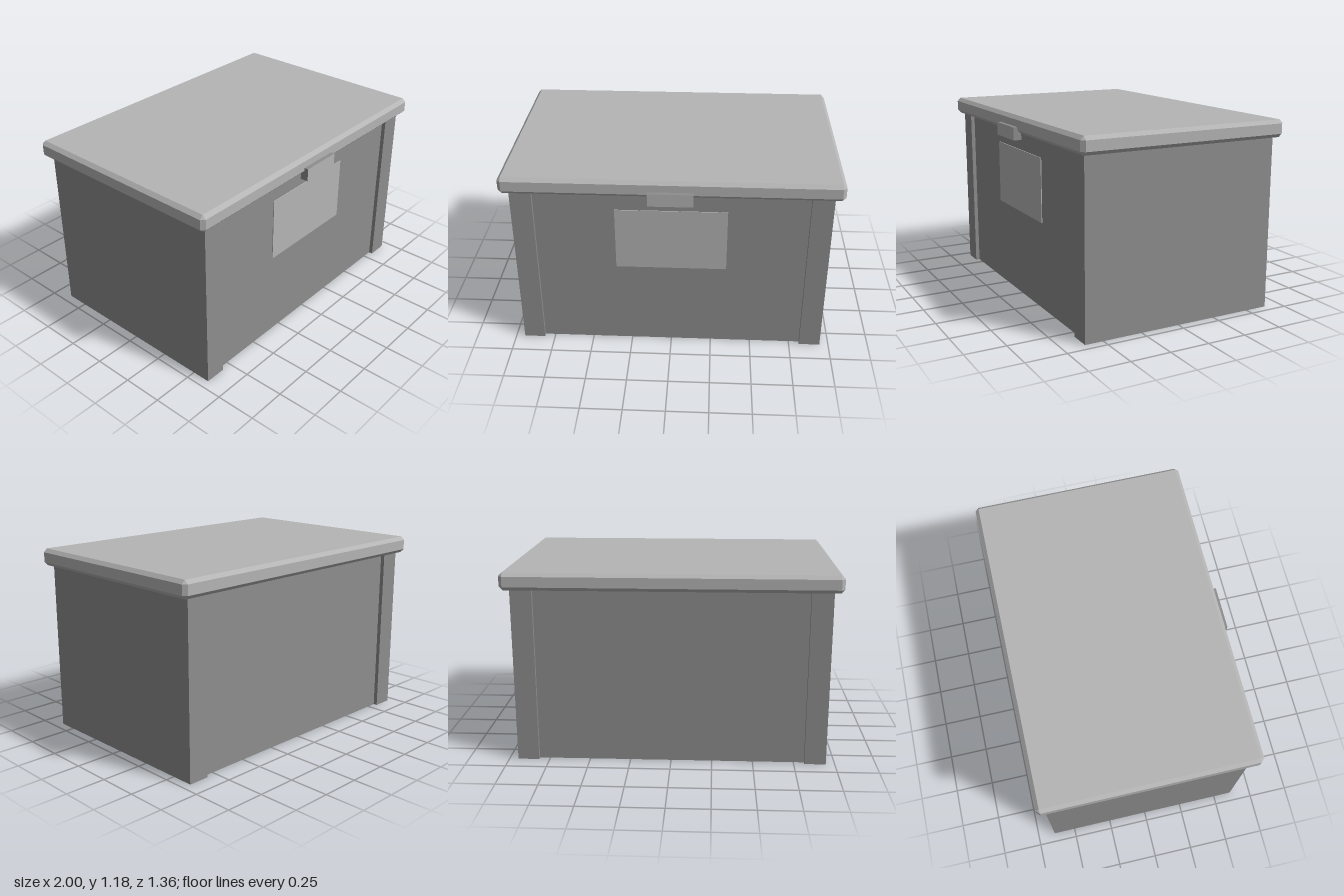
import * as THREE from 'three';
import { ConvexGeometry } from 'three/addons/geometries/ConvexGeometry.js';

// Box whose edges and corners are all cut at 45 degrees
function chamferedBox(w, h, d, c) {
  const points = [];
  for (const x of [-1, 1]) for (const y of [-1, 1]) for (const z of [-1, 1]) {
    for (let axis = 0; axis < 3; axis++) {
      const inset = [0, 1, 2].map((i) => (i === axis ? 0 : c));
      points.push(new THREE.Vector3(
        x * (w / 2 - inset[0]), y * (h / 2 - inset[1]), z * (d / 2 - inset[2])));
    }
  }
  return new ConvexGeometry(points);
}

export function createModel() {
  const model = new THREE.Group();
  model.name = 'storageBox';

  const bodyGrey = new THREE.MeshStandardMaterial({ color: 0x8e8e8e });
  bodyGrey.name = 'bodyGrey';
  const lightGrey = new THREE.MeshStandardMaterial({ color: 0xb5b5b5 });
  lightGrey.name = 'lightGrey';

  function add(name, geometry, material, x, y, z) {
    const mesh = new THREE.Mesh(geometry, material);
    mesh.name = name;
    mesh.position.set(x, y, z);
    model.add(mesh);
  }

  const front = 0.615, back = -0.64, recess = 0.025;
  const bodyHeight = 1.09, midZ = (front + back) / 2;

  // Main body, with front and back panels set in from the corner posts
  add('body', new THREE.BoxGeometry(1.63, bodyHeight, front - back - 2 * recess),
    bodyGrey, 0, bodyHeight / 2, midZ);

  // End walls, whose edges form the four corner posts
  for (const side of [-1, 1]) {
    add(side > 0 ? 'leftEndWall' : 'rightEndWall',
      new THREE.BoxGeometry(0.13, bodyHeight, front - back),
      bodyGrey, side * 0.88, bodyHeight / 2, midZ);
  }

  // Overhanging lid
  add('lid', chamferedBox(2, 0.106, 1.335, 0.022), lightGrey, 0, 1.123, -0.0125);

  // Front latch with a light face
  add('latch', new THREE.BoxGeometry(0.265, 0.08, 0.05),
    [bodyGrey, bodyGrey, bodyGrey, bodyGrey, lightGrey, bodyGrey], 0, 1.07, 0.655);

  // Blank front plate
  add('frontPlate', new THREE.BoxGeometry(0.67, 0.4, 0.006),
    lightGrey, 0, 0.75, front - recess + 0.002);

  return model;
}
